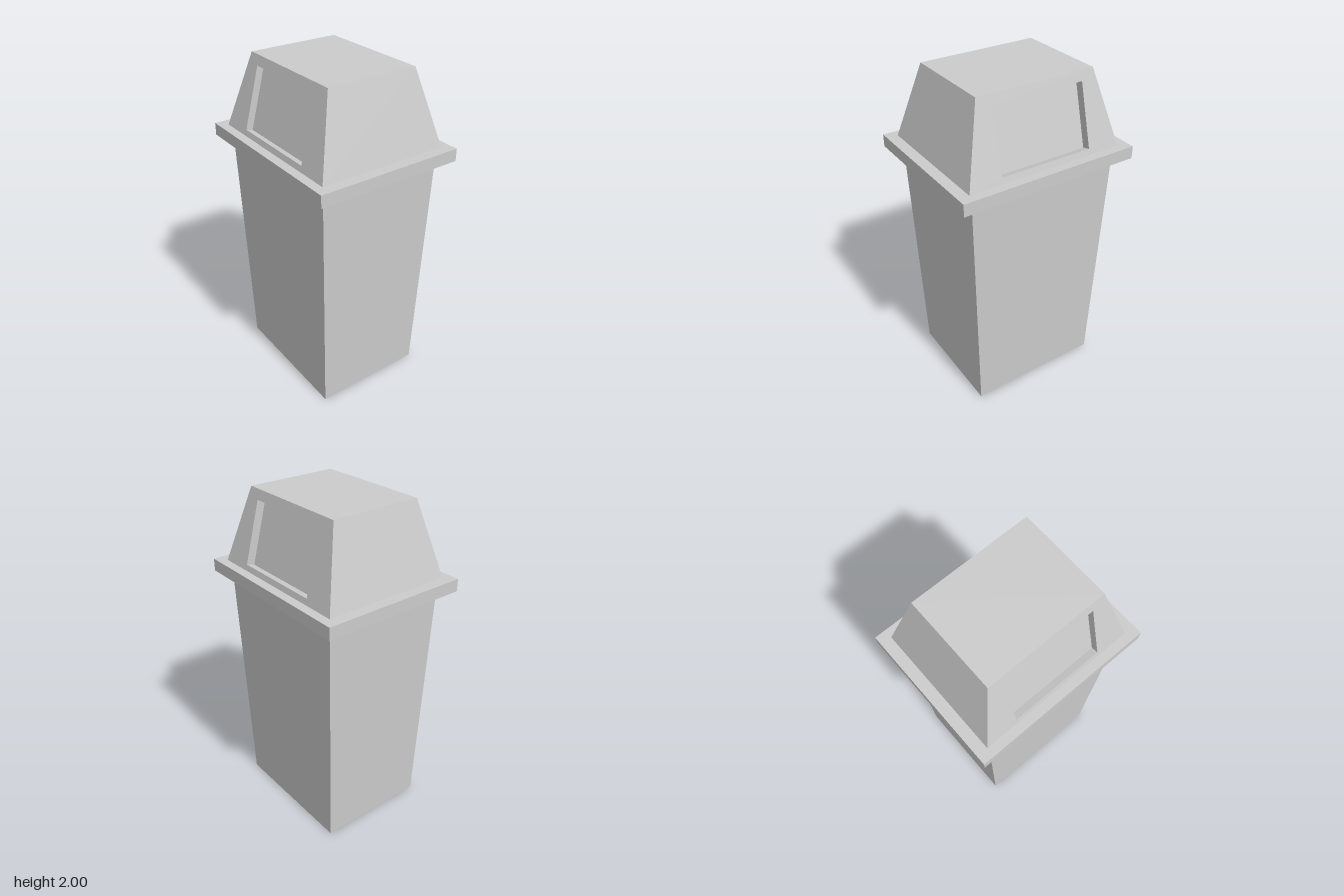
import * as THREE from 'three';

const material = new THREE.MeshStandardMaterial({ color: 0xcccccc, flatShading: true, side: THREE.DoubleSide });

function addMesh(parent, name, geometry) {
  const mesh = new THREE.Mesh(geometry, material);
  mesh.name = name;
  parent.add(mesh);
  return mesh;
}

// Box whose bottom and top rectangles have their own half sizes
function taperedBox([bx, bz], [tx, tz], y0, y1) {
  const g = new THREE.BoxGeometry(2, 1, 2);
  const p = g.attributes.position;
  for (let i = 0; i < p.count; i++) {
    const top = p.getY(i) > 0;
    p.setXYZ(i, p.getX(i) * (top ? tx : bx), top ? y1 : y0, p.getZ(i) * (top ? tz : bz));
  }
  g.computeVertexNormals();
  return g;
}

// Flat quads, each given as four corners counter-clockwise from outside
function quads(list) {
  const pts = list.flatMap(([a, b, c, d]) => [a, b, c, a, c, d]);
  const g = new THREE.BufferGeometry().setFromPoints(pts);
  g.computeVertexNormals();
  return g;
}

// Strip of quads between two four-cornered loops
const bridge = (a, b) => a.map((p, i) => [p, a[(i + 1) % 4], b[(i + 1) % 4], b[i]]);

const V = (x, y, z) => new THREE.Vector3(x, y, z);
const LID = { y0: 1.55, y1: 2, x0: 0.402, x1: 0.282, z0: 0.486, z1: 0.365 };

// Sloping lid wall with a recessed flap opening, facing +x
function openingWall(depth) {
  const { y0, y1, x0, x1, z0, z1 } = LID;
  const slopeX = (y) => x0 + ((x1 - x0) * (y - y0)) / (y1 - y0);
  const loop = (ya, yb, za, zb) => [
    V(slopeX(ya), ya, za), V(slopeX(ya), ya, -za), V(slopeX(yb), yb, -zb), V(slopeX(yb), yb, zb),
  ];
  const outer = loop(y0, y1, z0, z1);
  const hole = loop(1.584, 1.943, 0.284, 0.284);
  const inward = V(y1 - y0, x0 - x1, 0).normalize().multiplyScalar(-depth);
  const inner = hole.map((p) => p.clone().add(inward));
  return {
    wall: quads([...bridge(outer, hole), ...bridge(hole, inner)]),
    flap: quads([inner]),
  };
}

export function createModel() {
  const model = new THREE.Group();
  model.name = 'litterBin';

  // Tapered bin body and overhanging rim
  addMesh(model, 'body', taperedBox([0.346, 0.42], [0.385, 0.465], 0, 1.475));
  addMesh(model, 'rim', taperedBox([0.457, 0.553], [0.457, 0.553], 1.475, 1.55));

  // Lid: plain top, front and back
  const lid = new THREE.Group();
  lid.name = 'lid';
  model.add(lid);
  const { y0, y1, x0, x1, z0, z1 } = LID;
  addMesh(lid, 'lidTop', quads([[V(-x1, y1, z1), V(x1, y1, z1), V(x1, y1, -z1), V(-x1, y1, -z1)]]));
  const end = quads([[V(-x0, y0, z0), V(x0, y0, z0), V(x1, y1, z1), V(-x1, y1, z1)]]);
  addMesh(lid, 'lidFront', end);
  addMesh(lid, 'lidBack', end).rotation.y = Math.PI;

  // Lid sides with the recessed flaps
  for (const [side, turn, depth] of [['left', 0, 0.05], ['right', Math.PI, 0.042]]) {
    const group = new THREE.Group();
    group.name = side + 'Opening';
    group.rotation.y = turn;
    const { wall, flap } = openingWall(depth);
    addMesh(group, side + 'LidWall', wall);
    addMesh(group, side + 'Flap', flap);
    lid.add(group);
  }
  return model;
}
